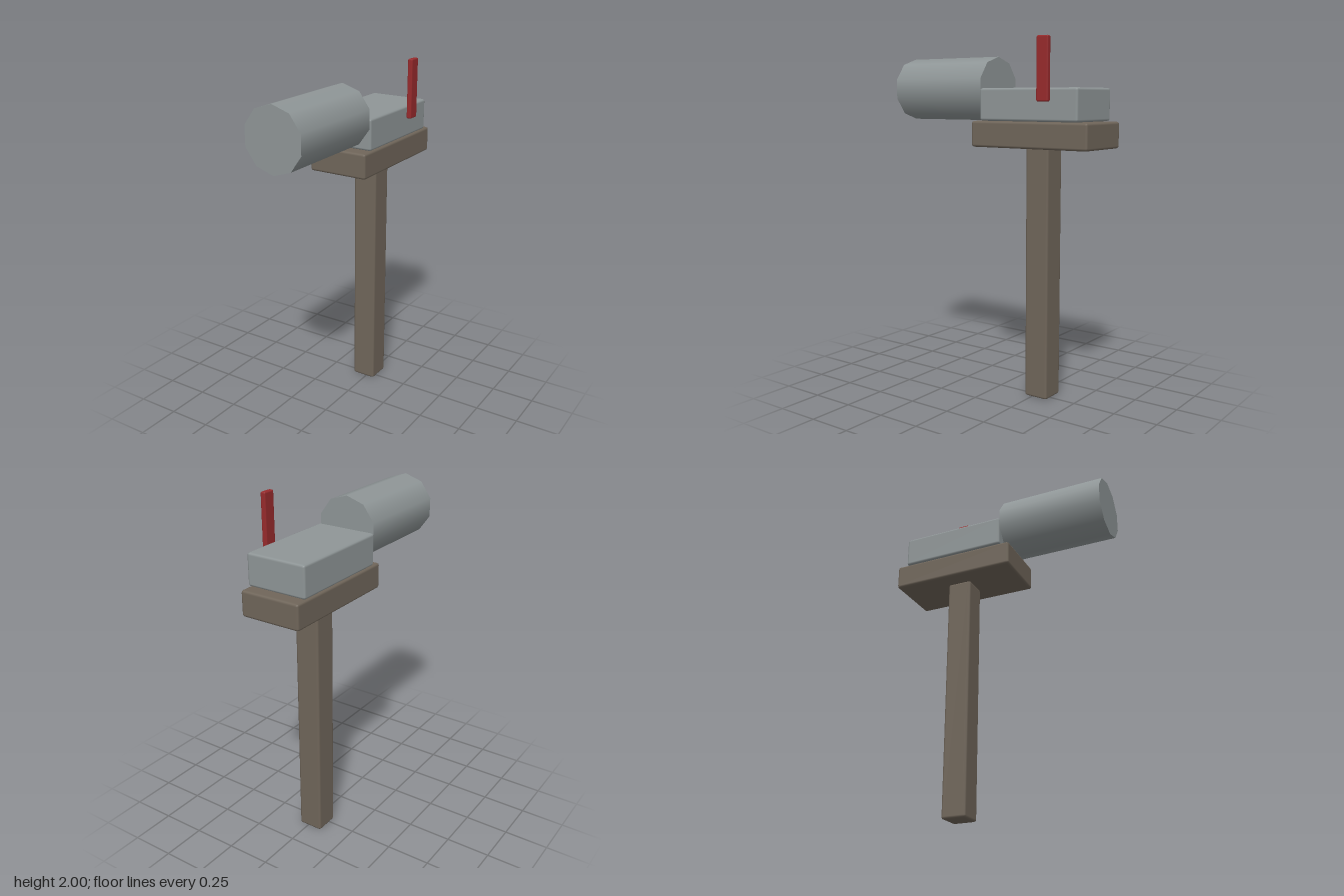
import * as THREE from 'three';
import { RoundedBoxGeometry } from 'three/addons/geometries/RoundedBoxGeometry.js';

function material(name, color) {
  const m = new THREE.MeshStandardMaterial({ color });
  m.name = name;
  return m;
}

export function createModel() {
  const group = new THREE.Group();
  group.name = 'mailbox';
  const wood = material('brown wood', 0x70665a);
  const metal = material('grey metal', 0x8f9697);
  const red = material('red paint', 0x982a2c);

  // Box with a small one-step bevel, given by its extents
  function bevelBox(name, mat, [x0, x1], [y0, y1], [z0, z1], bevel) {
    const geometry = new RoundedBoxGeometry(x1 - x0, y1 - y0, z1 - z0, 1, bevel);
    const mesh = new THREE.Mesh(geometry, mat);
    mesh.name = name;
    mesh.position.set((x0 + x1) / 2, (y0 + y1) / 2, (z0 + z1) / 2);
    group.add(mesh);
  }

  // Wooden post and the shelf it carries
  bevelBox('post', wood, [-0.09, 0.055], [0.005, 1.42], [-0.35, -0.205], 0.014);
  bevelBox('shelf', wood, [-0.193, 0.16], [1.415, 1.558], [-0.648, 0.09], 0.014);

  // Low metal box at the back, with the signal flag on its left side
  bevelBox('boxBody', metal, [-0.193, 0.16], [1.56, 1.737], [-0.59, 0.031], 0.014);
  bevelBox('flag', red, [0.16, 0.19], [1.665, 2.0], [-0.43, -0.358], 0.008);

  // Ten-sided drum reaching forward from the box
  const drum = new THREE.Mesh(new THREE.CylinderGeometry(0.177, 0.177, 0.62, 10), metal);
  drum.name = 'drum';
  drum.rotation.x = Math.PI / 2;
  drum.position.set(-0.017, 1.735, 0.34);
  group.add(drum);

  return group;
}
